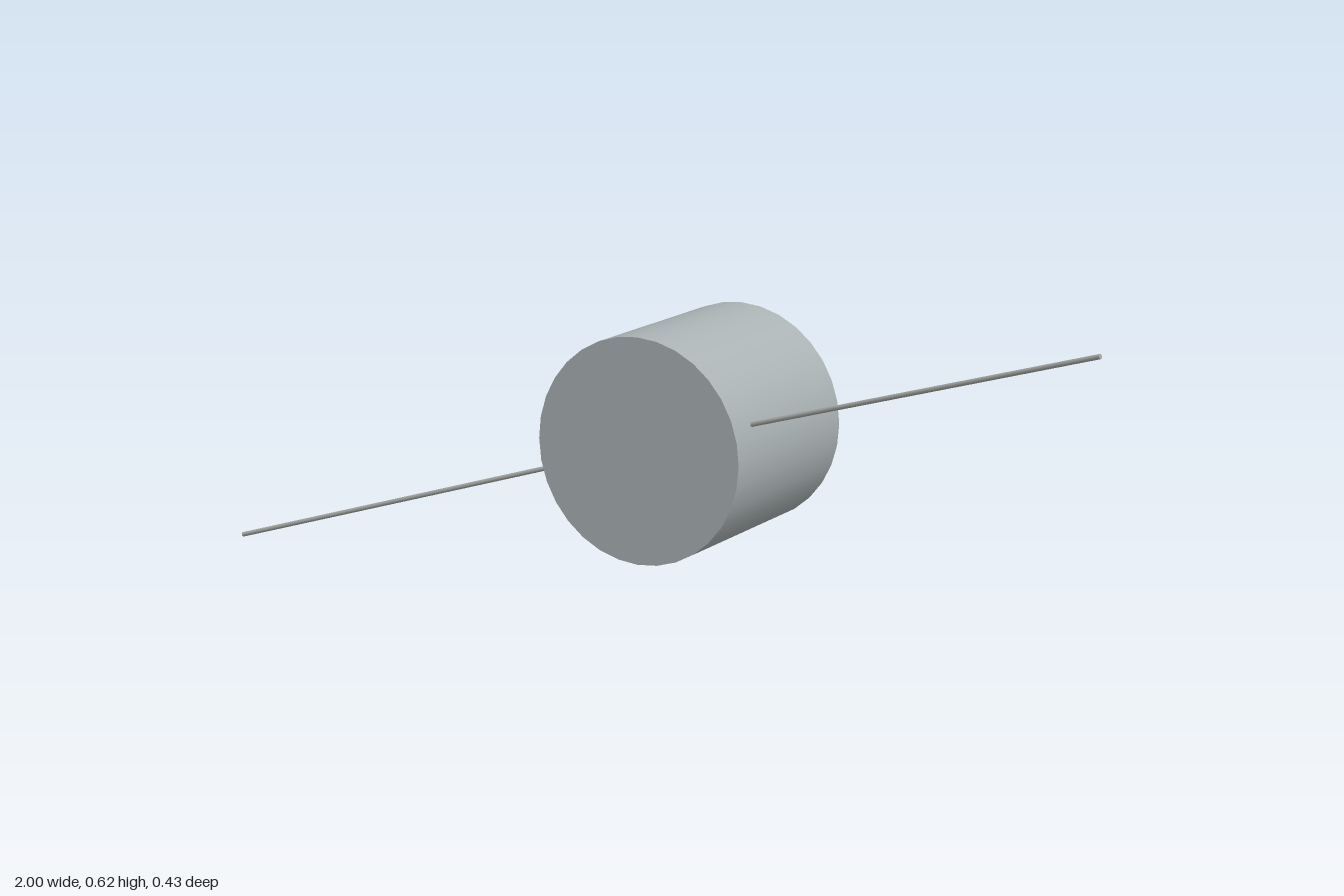
import * as THREE from 'three';

const drumMaterial = new THREE.MeshStandardMaterial({ color: 0xaab2b4 });
drumMaterial.name = 'cool grey';
const rodMaterial = new THREE.MeshStandardMaterial({ color: 0xa6a9a6 });
rodMaterial.name = 'neutral grey';

// Straight round rod between two points
function rod(name, from, to, radius) {
  const axis = to.clone().sub(from);
  const mesh = new THREE.Mesh(
    new THREE.CylinderGeometry(radius, radius, axis.length(), 16), rodMaterial);
  mesh.name = name;
  mesh.position.copy(from).addScaledVector(axis, 0.5);
  mesh.quaternion.setFromUnitVectors(new THREE.Vector3(0, 1, 0), axis.normalize());
  return mesh;
}

export function createModel() {
  const model = new THREE.Group();
  model.name = 'drumWithRods';
  const centreY = 0.315;

  // Closed drum lying along z
  const drum = new THREE.Mesh(
    new THREE.CylinderGeometry(0.234, 0.234, 0.417, 32).rotateX(Math.PI / 2), drumMaterial);
  drum.name = 'drum';
  drum.position.set(0, centreY, -0.0075);
  model.add(drum);

  // Opposed slanted rods, both leaning forward, one rising and one falling
  for (const [name, side] of [['leftRod', 1], ['rightRod', -1]]) {
    const point = (x, y, z) => new THREE.Vector3(side * x, centreY + side * y, z);
    model.add(rod(name, point(0.17, 0.053, 0.124), point(0.9985, 0.3075, 0.2135), 0.005));
  }
  return model;
}
